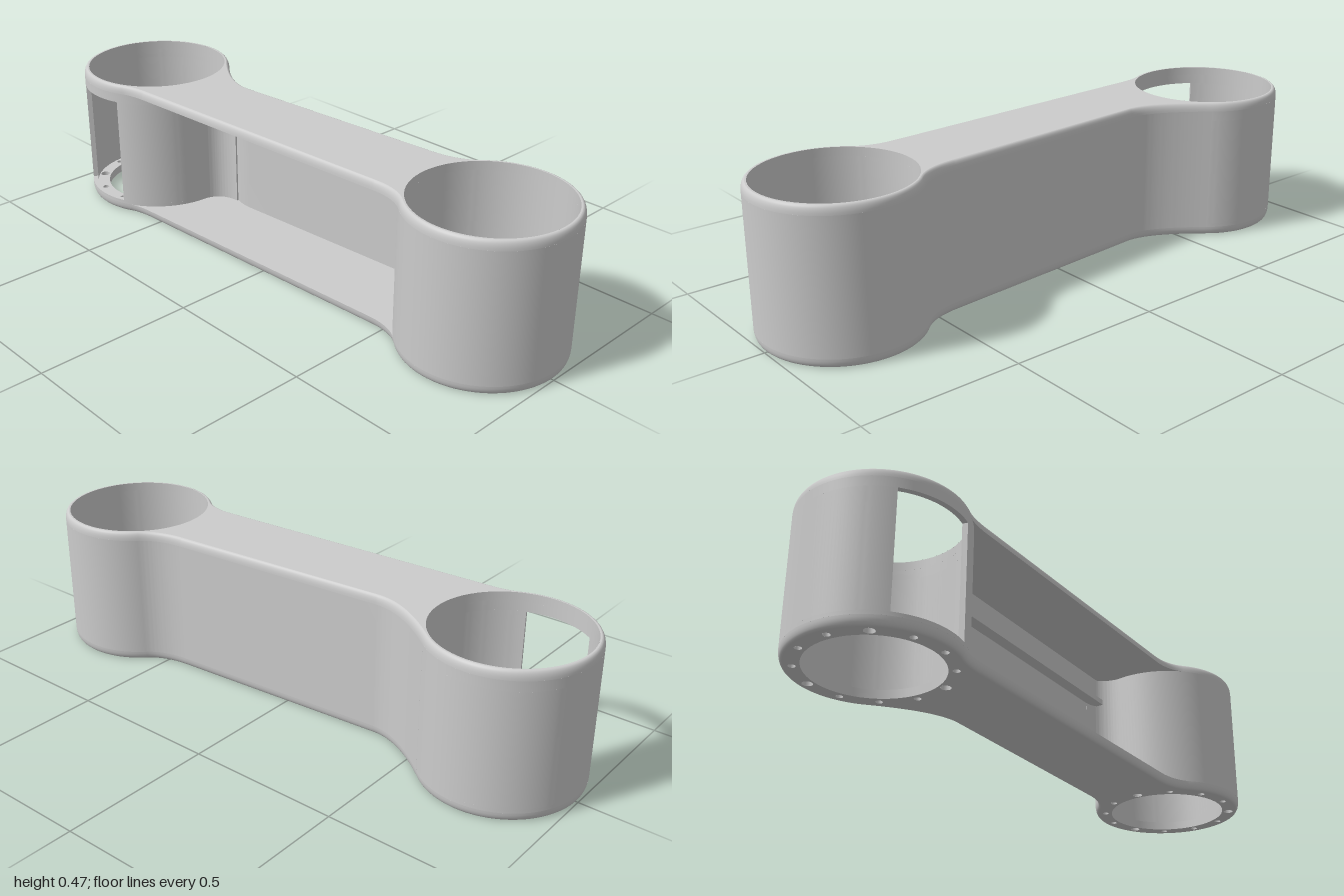
import * as THREE from 'three';
import { toCreasedNormals } from 'three/addons/utils/BufferGeometryUtils.js';

const H = 0.47, PLATE = 0.028, R = 0.255, RIN = 0.238, CX = 0.745, INSET = 0.012;
const rad = THREE.MathUtils.degToRad;
const material = new THREE.MeshStandardMaterial({ color: 0xcccccc, side: THREE.DoubleSide });

// Plan curves are drawn in (x, z)
function backCurve(path) {
  path.quadraticCurveTo(-0.425, -0.066, -0.33, -0.073);
  path.lineTo(0.42, -0.126);
  path.quadraticCurveTo(0.517, -0.132, CX + R * Math.cos(rad(225)), R * Math.sin(rad(225)));
}

function cleaned(path) {
  return path.getPoints(32).filter((p, i, a) => i === 0 || p.distanceTo(a[i - 1]) > 0.002);
}

function outlinePoints() {
  const p = new THREE.Path();
  p.absarc(-CX, 0, R, rad(65), rad(310), false);
  backCurve(p);
  p.absarc(CX, 0, R, rad(225), rad(490), false);
  p.quadraticCurveTo(0.533, 0.155, 0.45, 0.16);
  p.lineTo(-0.55, 0.213);
  p.quadraticCurveTo(-0.607, 0.217, -CX + R * Math.cos(rad(65)), R * Math.sin(rad(65)));
  const pts = cleaned(p);
  if (pts[0].distanceTo(pts[pts.length - 1]) < 0.002) pts.pop();
  return pts;
}

// Move a curve sideways, towards the inside of the body
function offset(pts, d, closed) {
  const n = pts.length;
  return pts.map((p, i) => {
    const a = closed ? pts[(i + n - 1) % n] : pts[Math.max(i - 1, 0)];
    const b = closed ? pts[(i + 1) % n] : pts[Math.min(i + 1, n - 1)];
    const t = b.clone().sub(a).normalize();
    return new THREE.Vector2(p.x - t.y * d, p.y + t.x * d);
  });
}

function circle(x, z, r) {
  return new THREE.Path().absarc(x, z, r, 0, Math.PI * 2, true);
}

function add(group, name, geometry) {
  const mesh = new THREE.Mesh(geometry, material);
  mesh.name = name;
  group.add(mesh);
  return mesh;
}

// Flat sheet at a height
function sheet(group, name, shape, y) {
  add(group, name, new THREE.ShapeGeometry(shape, 32).rotateX(Math.PI / 2).translate(0, y, 0));
}

// Plan shape raised between two heights
function prism(group, name, shape, y0, y1) {
  const g = new THREE.ExtrudeGeometry(shape, { depth: y1 - y0, bevelEnabled: false, curveSegments: 64 });
  g.rotateX(Math.PI / 2).translate(0, y1, 0);
  add(group, name, toCreasedNormals(g, 0.5));
}

// Rounded rim following the whole outline; side is +1 for the top, -1 for the bottom
function rim(group, name, pts, side) {
  const n = pts.length, rows = 6, pos = [], index = [];
  for (let j = 0; j <= rows; j++) {
    const a = (j / rows) * Math.PI / 2;
    const fromFace = PLATE * (1 - Math.sin(a));
    const y = side > 0 ? H - fromFace : fromFace;
    for (const p of offset(pts, INSET * (1 - Math.cos(a)), true)) pos.push(p.x, y, p.y);
  }
  for (let j = 0; j < rows; j++) for (let i = 0; i < n; i++) {
    const a = j * n + i, b = j * n + (i + 1) % n, c = a + n, d = b + n;
    if (side > 0) index.push(a, c, b, b, c, d);
    else index.push(a, b, c, b, d, c);
  }
  const g = new THREE.BufferGeometry();
  g.setAttribute('position', new THREE.Float32BufferAttribute(pos, 3));
  g.setIndex(index);
  g.computeVertexNormals();
  add(group, name, g);
}

function tube(group, name, x, z, r, y0, y1, sides) {
  const g = new THREE.CylinderGeometry(r, r, y1 - y0, sides, 1, true);
  add(group, name, g.translate(x, (y0 + y1) / 2, z));
}

function annulus(x) {
  const s = new THREE.Shape().absarc(x, 0, R, 0, Math.PI * 2, false);
  s.holes.push(circle(x, 0, RIN));
  return s;
}

export function createModel() {
  const group = new THREE.Group();
  group.name = 'armLink';
  const outline = outlinePoints();
  const inset = offset(outline, INSET, true);

  // Top plate, open over both sockets
  for (const [pts, y] of [[inset, H], [outline, H - PLATE]]) {
    const s = new THREE.Shape(pts);
    for (const side of [-1, 1]) s.holes.push(circle(side * CX, 0, y === H ? RIN : RIN + 0.008));
    sheet(group, 'topPlate', s, y);
  }
  rim(group, 'topRim', outline, 1);

  // Bottom plate with flanges and bolt holes, every fourth hole larger
  const bolts = [];
  for (const [cx, start] of [[-CX, -101], [CX, -64]]) {
    for (let i = 0; i < 12; i++) {
      const a = rad(start + i * 30);
      bolts.push([cx + 0.219 * Math.cos(a), 0.219 * Math.sin(a), i % 4 ? 0.011 : 0.016]);
    }
  }
  for (const [pts, y] of [[inset, 0], [outline, PLATE]]) {
    const s = new THREE.Shape(pts);
    for (const side of [-1, 1]) s.holes.push(circle(side * CX, 0, 0.197));
    for (const b of bolts) s.holes.push(circle(...b));
    sheet(group, 'bottomPlate', s, y);
  }
  rim(group, 'bottomRim', outline, -1);
  for (const b of bolts) tube(group, 'boltHole', ...b, 0, PLATE, 16);

  // Socket walls; the right one has a window in its front
  for (const side of [-1, 1]) {
    const x = side * CX;
    tube(group, 'flangeBore', x, 0, 0.197, 0, PLATE, 64);
    tube(group, 'socketLip', x, 0, RIN, H - PLATE, H, 96);
    if (side > 0) {
      prism(group, 'leftSocketWall', annulus(x), PLATE, H - PLATE);
    } else {
      const a0 = Math.PI / 2 + Math.asin(0.155 / R);
      const a1 = Math.PI * 2.5 - Math.asin(0.085 / R);
      const s = new THREE.Shape();
      s.absarc(x, 0, R, a0, a1, false);
      s.absarc(x, 0, RIN, a1, a0, true);
      prism(group, 'rightSocketWall', s, 0.04, 0.41);
      prism(group, 'windowSill', annulus(x), PLATE, 0.04);
      prism(group, 'windowHeader', annulus(x), 0.41, H - PLATE);
    }
  }

  // Back wall of the open channel
  const back = new THREE.Path();
  back.moveTo(-CX + R * Math.cos(rad(310)), R * Math.sin(rad(310)));
  backCurve(back);
  const outer = cleaned(back);
  const inner = offset(outer, 0.015, false).reverse();
  prism(group, 'backWall', new THREE.Shape([...outer, ...inner]), PLATE, H - PLATE);

  // Inside fillets between the sockets and the back wall
  const left = new THREE.Shape();
  left.moveTo(-0.493, 0.02);
  left.quadraticCurveTo(-0.485, -0.06, -0.4, -0.062);
  left.lineTo(-0.4, -0.075);
  left.lineTo(-0.5, -0.1);
  prism(group, 'channelFillet', left, PLATE, H - PLATE);
  const right = new THREE.Shape();
  right.moveTo(0.493, -0.02);
  right.quadraticCurveTo(0.485, -0.108, 0.41, -0.11);
  right.lineTo(0.41, -0.12);
  right.lineTo(0.53, -0.13);
  prism(group, 'channelFillet', right, PLATE, H - PLATE);

  // Cable ledge high on the back wall
  for (const [name, h, y, depth] of [['cableLedge', 0.018, 0.349, 0.05], ['ledgeBacking', 0.085, 0.4, 0.025]]) {
    const m = add(group, name, new THREE.BoxGeometry(0.925, h, depth));
    m.position.set(-0.007, y, -0.09 + depth / 2);
    m.rotation.y = 0.07;
  }
  return group;
}
